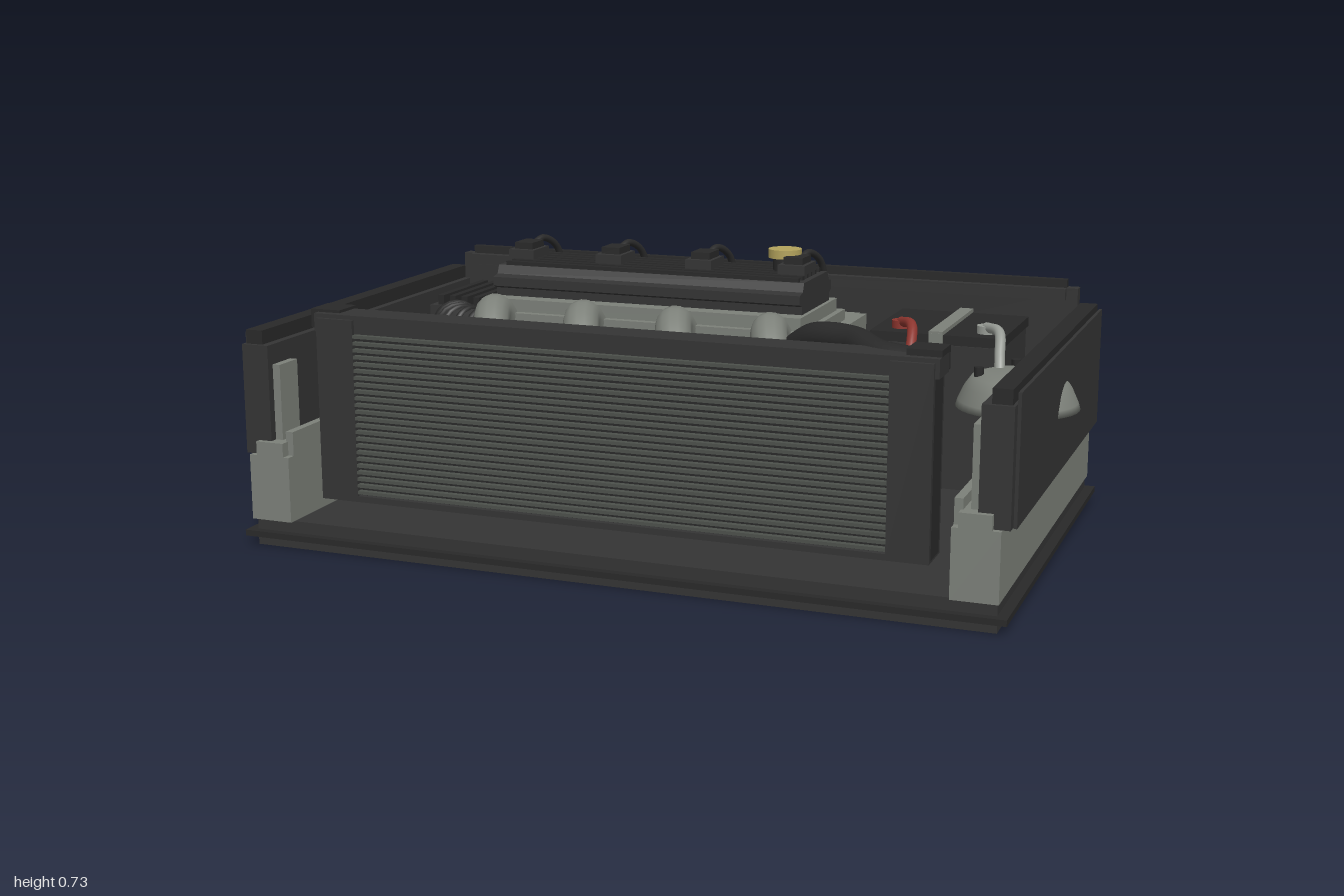
import * as THREE from 'three';

export function createModel() {
  const model = new THREE.Group();
  const mat = (name, color) => {
    const m = new THREE.MeshStandardMaterial({ color });
    m.name = name;
    return m;
  };
  const dark = mat('dark panel', 0x343434);
  const black = mat('black plastic', 0x292929);
  const grey = mat('bare metal', 0x7c8079);
  const mesh = mat('radiator fins', 0x4c504b);
  const gold = mat('yellow caps', 0xb3a35c);
  const red = mat('red cable', 0x8c352e);
  const pale = mat('pale metal', 0x969a94);

  const add = (name, geo, m) => {
    const o = new THREE.Mesh(geo, m);
    o.name = name;
    model.add(o);
    return o;
  };
  // box from its bounds
  const box = (name, m, x0, x1, y0, y1, z0, z1) => {
    const o = add(name, new THREE.BoxGeometry(x1 - x0, y1 - y0, z1 - z0), m);
    o.position.set((x0 + x1) / 2, (y0 + y1) / 2, (z0 + z1) / 2);
    return o;
  };
  // section of [z, y] points swept along x
  const sweepX = (name, m, pts, x0, x1) => {
    const shape = new THREE.Shape(pts.map(([z, y]) => new THREE.Vector2(-z, y)));
    const g = new THREE.ExtrudeGeometry(shape, { depth: x1 - x0, bevelEnabled: false });
    g.rotateY(Math.PI / 2).translate(x0, 0, 0);
    return add(name, g, m);
  };
  // upright round part between two heights
  const drum = (name, m, x, z, y0, y1, r0, r1 = r0, seg = 28) => {
    const o = add(name, new THREE.CylinderGeometry(r1, r0, y1 - y0, seg), m);
    o.position.set(x, (y0 + y1) / 2, z);
    return o;
  };
  // round part lying along x
  const wheel = (name, m, x0, x1, y, z, r) => {
    const o = add(name, new THREE.CylinderGeometry(r, r, x1 - x0, 28), m);
    o.rotation.z = Math.PI / 2;
    o.position.set((x0 + x1) / 2, y, z);
    return o;
  };
  const curve = (pts) => new THREE.CatmullRomCurve3(pts.map((p) => new THREE.Vector3(...p)));
  const tube = (name, m, pts, r) => add(name, new THREE.TubeGeometry(curve(pts), 28, r, 14), m);

  // base tray with a projecting lip
  box('baseBottom', dark, -0.935, 0.935, 0, 0.025, -0.56, 0.56);
  box('baseLip', black, -0.96, 0.96, 0.025, 0.04, -0.58, 0.58);
  box('baseTop', dark, -0.935, 0.935, 0.04, 0.07, -0.56, 0.56);

  // side rails, fenders and strut towers
  for (const s of [-1, 1]) {
    const side = (name, m, a, b, ...r) => box(name, m, Math.min(s * a, s * b), Math.max(s * a, s * b), ...r);
    side('sideRail', grey, 0.83, 0.94, 0.07, 0.235, -0.57, 0.575);
    side('railTop', grey, 0.845, 0.92, 0.235, 0.27, -0.57, 0.575);
    side('railRib', grey, 0.83, 0.85, 0.235, 0.295, -0.55, 0.55);
    side('fender', dark, 0.885, 0.957, 0.235, 0.51, -0.56, 0.56);
    side('fenderFace', dark, 0.957, 0.965, 0.232, 0.535, -0.53, 0.53);
    side('fenderTop', black, 0.905, 0.95, 0.51, 0.545, -0.55, 0.55);
    for (const z of [-0.5, 0.5])
      side('innerStay', grey, 0.865, 0.885, 0.27, 0.46, z - 0.04, z + 0.04);

    const profile = [[0, 0.375], [0.15, 0.375], [0.145, 0.392], [0.13, 0.425], [0.112, 0.45], [0.08, 0.46], [0, 0.462]];
    const tower = add('strutTower', new THREE.LatheGeometry(profile.map(([r, y]) => new THREE.Vector2(r, y)), 36), grey);
    tower.position.set(s * 0.85, 0, -0.02);
    for (let i = 0; i < 3; i++) {
      const a = (i * Math.PI * 2) / 3 + 0.5;
      drum('towerBolt', black, s * 0.83 + 0.08 * Math.cos(a), -0.02 + 0.08 * Math.sin(a), 0.45, 0.475, 0.012, 0.012, 8);
    }
    side('towerSupport', dark, 0.76, 0.885, 0.07, 0.375, -0.1, 0.06);
  }

  // rear bulkhead
  box('bulkhead', dark, -0.9, 0.9, 0.07, 0.585, -0.565, -0.53);
  box('bulkheadTop', black, -0.87, 0.87, 0.585, 0.607, -0.555, -0.535);
  box('bulkheadFlange', dark, -0.87, 0.87, 0.555, 0.585, -0.53, -0.512);
  for (const s of [-1, 1]) box('bulkheadEdge', grey, s * 0.912 - 0.012, s * 0.912 + 0.012, 0.07, 0.5, -0.56, -0.535);

  // radiator with finned face
  box('radiatorCore', black, -0.77, 0.77, 0.13, 0.575, 0.43, 0.505);
  box('radiatorTopTank', dark, -0.78, 0.78, 0.545, 0.59, 0.42, 0.51);
  box('radiatorBottomTank', dark, -0.77, 0.77, 0.125, 0.14, 0.42, 0.52);
  for (const s of [-1, 1]) box('radiatorSide', dark, s * 0.72 - 0.05, s * 0.72 + 0.05, 0.13, 0.58, 0.42, 0.52);
  for (let i = 0; i < 24; i++) {
    const y = 0.145 + i * 0.017;
    box('radiatorFin', mesh, -0.67, 0.67, y, y + 0.008, 0.505, 0.52);
  }
  box('radiatorNeck', black, 0.7, 0.78, 0.55, 0.605, 0.41, 0.49);
  box('radiatorBracket', black, -0.8, -0.72, 0.55, 0.597, 0.41, 0.49);

  // cooling fan
  const hub = add('fanHub', new THREE.CylinderGeometry(0.05, 0.05, 0.09, 20), black);
  hub.rotation.x = Math.PI / 2;
  hub.position.set(0.02, 0.34, 0.35);
  const ring = add('fanRing', new THREE.TorusGeometry(0.19, 0.014, 8, 32), black);
  ring.position.set(0, 0.34, 0.385);
  for (let i = 0; i < 6; i++) {
    const a = (i * Math.PI) / 3;
    const blade = add('fanBlade', new THREE.BoxGeometry(0.19, 0.07, 0.012), black);
    blade.position.set(0.1 * Math.cos(a), 0.34 + 0.1 * Math.sin(a), 0.385);
    blade.rotation.set(0.25, 0, a, 'ZXY');
  }

  // engine block and head
  sweepX('oilPan', black, [[0.14, 0.12], [-0.2, 0.12], [-0.15, 0.08], [0.1, 0.08]], -0.4, 0.3);
  box('engineBlock', grey, -0.48, 0.36, 0.12, 0.44, -0.22, 0.15);
  sweepX('intakeManifold', grey, [[-0.2, 0.36], [-0.34, 0.42], [-0.34, 0.5], [-0.31, 0.525], [-0.17, 0.525]], -0.5, 0.37);
  box('headLower', grey, -0.5, 0.39, 0.44, 0.525, -0.3, 0.17);
  box('headUpper', grey, -0.49, 0.36, 0.525, 0.553, -0.2, 0.155);
  box('headGasket', grey, -0.48, 0.345, 0.553, 0.585, -0.175, 0.135);
  box('exhaustFlange', grey, -0.46, 0.36, 0.46, 0.515, 0.15, 0.215);

  // valve cover with ridges
  sweepX('valveCover', dark, [[0.09, 0.585], [0.09, 0.605], [0.11, 0.612], [0.11, 0.635], [0.085, 0.64], [0.075, 0.662],
    [-0.12, 0.662], [-0.13, 0.64], [-0.155, 0.635], [-0.155, 0.612], [-0.14, 0.605], [-0.14, 0.585]], -0.49, 0.335);
  for (let i = 0; i < 6; i++) {
    const z = -0.11 + i * 0.034;
    box('coverRidge', black, -0.47, 0.32, 0.66, 0.672, z, z + 0.014);
  }

  // ignition coils, leads and exhaust pipes, one per cylinder
  for (const x of [-0.45, -0.205, 0.04, 0.285]) {
    box('coil', dark, x - 0.035, x + 0.035, 0.66, 0.695, -0.07, 0.025);
    box('coilTop', black, x - 0.025, x + 0.025, 0.695, 0.712, -0.06, 0.01);
    tube('coilLead', black, [[x, 0.7, -0.05], [x + 0.01, 0.712, -0.09], [x + 0.025, 0.685, -0.14], [x + 0.035, 0.605, -0.172]], 0.009);
    tube('exhaustPipe', grey, [[x, 0.5, 0.1], [x, 0.562, 0.19], [x + 0.03, 0.515, 0.27], [x + 0.06, 0.42, 0.315], [x + 0.065, 0.25, 0.315]], 0.045);
  }
  drum('oilNeck', black, 0.245, -0.05, 0.66, 0.705, 0.03);
  drum('oilCap', gold, 0.245, -0.05, 0.703, 0.725, 0.042, 0.042, 20);

  // pulleys and belt
  wheel('alternator', grey, 0.36, 0.49, 0.42, 0.16, 0.07);
  wheel('crankPulley', black, 0.36, 0.5, 0.22, -0.02, 0.09);
  wheel('upperPulley', black, 0.39, 0.5, 0.42, -0.06, 0.05);
  const belt = curve([[0.51, 0.48, -0.07], [0.51, 0.49, 0.16], [0.51, 0.4, 0.23], [0.51, 0.18, 0.05], [0.51, 0.15, -0.07], [0.51, 0.38, -0.12]]);
  belt.closed = true;
  add('belt', new THREE.TubeGeometry(belt, 48, 0.012, 8, true), black);

  // radiator hose
  tube('radiatorHose', black, [[0.33, 0.5, 0.2], [0.42, 0.565, 0.26], [0.53, 0.575, 0.32], [0.62, 0.565, 0.41], [0.74, 0.56, 0.45]], 0.038);

  // battery, strap, terminals and cables
  box('battery', dark, 0.45, 0.78, 0.12, 0.49, -0.46, -0.13);
  box('batteryLid', black, 0.445, 0.785, 0.49, 0.515, -0.465, -0.135);
  box('batteryStrap', grey, 0.6, 0.635, 0.515, 0.525, -0.475, -0.125);
  box('strapFront', grey, 0.6, 0.635, 0.12, 0.52, -0.133, -0.124);
  drum('redTerminal', red, 0.51, -0.2, 0.51, 0.535, 0.024);
  drum('paleTerminal', pale, 0.73, -0.2, 0.51, 0.535, 0.024);
  tube('redCable', red, [[0.51, 0.53, -0.2], [0.555, 0.535, -0.13], [0.575, 0.46, -0.04], [0.62, 0.28, 0.06]], 0.013);
  tube('paleCable', pale, [[0.73, 0.53, -0.2], [0.775, 0.53, -0.14], [0.79, 0.48, -0.08], [0.805, 0.4, -0.02]], 0.013);

  // air filter box with ribs
  box('airBox', dark, -0.81, -0.54, 0.15, 0.5, -0.43, -0.14);
  for (let i = 0; i < 7; i++) {
    const x = -0.79 + i * 0.036;
    box('airBoxRib', black, x, x + 0.018, 0.5, 0.527, -0.42, -0.15);
  }

  // ribbed intake duct
  const ductPath = [[-0.7, 0.44, -0.13], [-0.68, 0.47, -0.05], [-0.61, 0.48, 0.05], [-0.48, 0.48, 0.09]];
  tube('intakeDuct', dark, ductPath, 0.058);
  const duct = curve(ductPath);
  for (let i = 0; i < 9; i++) {
    const t = 0.1 + i * 0.1;
    const rib = add('ductRib', new THREE.TorusGeometry(0.057, 0.009, 8, 20), black);
    rib.position.copy(duct.getPointAt(t));
    rib.lookAt(rib.position.clone().add(duct.getTangentAt(t)));
  }

  // fluid reservoir
  drum('reservoir', grey, -0.68, 0.17, 0.09, 0.4, 0.1);
  drum('reservoirShoulder', grey, -0.68, 0.17, 0.4, 0.44, 0.1, 0.055);
  drum('reservoirCap', gold, -0.68, 0.155, 0.44, 0.475, 0.054, 0.054, 20);

  return model;
}
